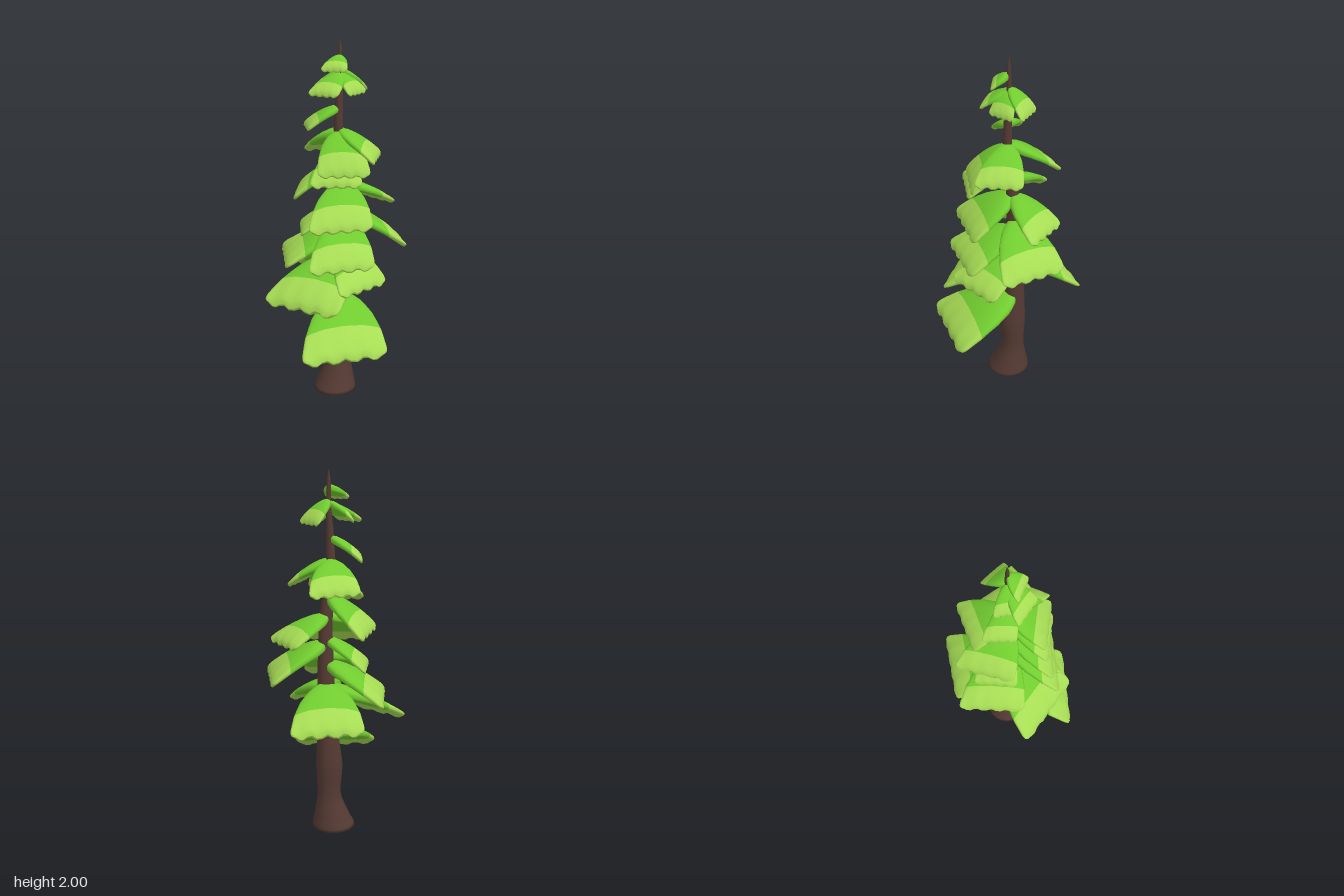
import * as THREE from 'three';

const makeMaterial = (name, color) => {
  const m = new THREE.MeshStandardMaterial({ color });
  m.name = name;
  return m;
};

// Closed rings of points joined into one smooth skin
function loft(rings, splitRing) {
  const n = rings[0].length, pos = [], idx = [];
  rings.forEach(r => r.forEach(p => pos.push(p.x, p.y, p.z)));
  for (let i = 0; i < rings.length - 1; i++) {
    for (let j = 0; j < n; j++) {
      const k = (j + 1) % n, a = i * n + j, b = i * n + k, c = a + n, d = b + n;
      idx.push(a, b, c, b, d, c);
    }
  }
  const g = new THREE.BufferGeometry();
  g.setAttribute('position', new THREE.Float32BufferAttribute(pos, 3));
  g.setIndex(idx);
  if (splitRing) {
    g.addGroup(0, splitRing * n * 6, 0);
    g.addGroup(splitRing * n * 6, idx.length - splitRing * n * 6, 1);
  }
  g.computeVertexNormals();
  return g;
}

// Piecewise linear lookup in [position, value] pairs
function lookup(table, v) {
  for (let i = 1; i < table.length; i++) {
    const [a, p] = table[i - 1], [b, q] = table[i];
    if (v <= b) return p + (q - p) * (v - a) / (b - a);
  }
  return table[table.length - 1][1];
}

// Trunk centre line and radius: x, y, z, radius
const TRUNK = [
  [0.005, 0, -0.01, 0.12], [0.015, 0.07, -0.018, 0.098], [0.029, 0.2, -0.028, 0.066],
  [0.028, 0.37, -0.027, 0.074], [0.032, 0.5, -0.033, 0.064], [0.038, 0.65, -0.037, 0.052],
  [0.045, 0.9, -0.03, 0.046], [0.045, 1.2, -0.025, 0.036], [0.022, 1.5, 0, 0.026],
  [0.024, 1.65, 0, 0.021], [0.03, 1.8, -0.004, 0.014], [0.03, 1.94, -0.004, 0.01], [0.03, 2, -0.004, 0.002],
];
const trunkPath = new THREE.CatmullRomCurve3(TRUNK.map(p => new THREE.Vector3(p[0], p[1], p[2])));
const trunkRadius = new THREE.SplineCurve(TRUNK.map((p, i) => new THREE.Vector2(i, p[3])));
const trunkX = TRUNK.map(p => [p[1], p[0]]);
const trunkZ = TRUNK.map(p => [p[1], p[2]]);

function trunkGeometry() {
  const steps = 48, sides = 24;
  const ringAt = (t, r) => {
    const c = trunkPath.getPoint(t);
    return Array.from({ length: sides }, (_, j) => {
      const a = j / sides * Math.PI * 2;
      return new THREE.Vector3(c.x + r * Math.cos(a), c.y, c.z - r * Math.sin(a));
    });
  };
  // The first ring is collapsed to close the underside
  const rings = [ringAt(0, 0)];
  for (let i = 0; i <= steps; i++) rings.push(ringAt(i / steps, trunkRadius.getPoint(i / steps).y));
  return loft(rings);
}

// Bough outline: half width and half thickness along its length
const WIDTH = [[0, 0.17], [0.08, 0.39], [0.2, 0.58], [0.4, 0.79], [0.67, 0.97], [0.92, 1.06], [0.97, 1.04], [1, 0.97]];
const THICK = [[0, 0], [0.02, 0.55], [0.05, 0.8], [0.2, 1], [0.5, 1], [0.82, 0.92], [0.92, 0.8], [0.97, 0.6], [0.99, 0.38], [1, 0]];
const STEPS = [0, 0.02, 0.05, 0.12, 0.2, 0.3, 0.4, 0.54, 0.67, 0.75, 0.83, 0.9, 0.94, 0.97, 0.99, 1];
const SPLIT = 8;

// A drooping fan from the trunk to the end edge between corners a and b
function boughGeometry(topY, tipY, ax, az, bx, bz) {
  const root = new THREE.Vector3(lookup(trunkX, topY), topY, lookup(trunkZ, topY));
  const out = new THREE.Vector3((ax + bx) / 2 - root.x, 0, (az + bz) / 2 - root.z);
  const half = new THREE.Vector3((bx - ax) / 2, 0, (bz - az) / 2);
  if (half.x * out.z - half.z * out.x < 0) half.negate();
  const W = half.length(), thick = 0.013 + 0.125 * W, sides = 40;
  const startY = topY - thick * 0.75, drop = tipY + thick * 0.5 - startY;
  const rings = STEPS.map(v => {
    const w = lookup(WIDTH, v), t = lookup(THICK, v) * thick, ring = [];
    for (let j = 0; j < sides; j++) {
      const a = j / sides * Math.PI * 2, u = Math.cos(a), s = Math.sin(a);
      const scallop = -Math.cos(u * Math.PI * 4) * v ** 6;
      const l = v * (1.045 + 0.01 * scallop);
      const p = root.clone().addScaledVector(out, l).addScaledVector(half, u * w);
      p.y = startY + drop * (0.35 * v + 0.65 * v * v) - 0.055 * W * scallop;
      p.y += t * Math.sign(s) * Math.abs(s) ** 0.7;
      p.y -= 0.2 * W * u * u * w * (1 - 0.9 * v);
      ring.push(p);
    }
    return ring;
  });
  return loft(rings, SPLIT);
}

// Boughs: top y, tip y, then the end corners as x, z, x, z
const BOUGHS = [
  [0.6, 0.34, -0.2, 0.37, 0.24, 0.31],
  [0.85, 0.6, -0.38, 0.12, -0.03, 0.35],
  [0.88, 0.69, 0.26, 0.13, 0, 0.3],
  [0.87, 0.65, -0.17, -0.28, 0.19, -0.365],
  [0.99, 0.78, -0.26, -0.25, -0.26, 0.09],
  [1.04, 0.82, -0.155, 0.28, 0.18, 0.23],
  [1.1, 0.88, 0.3, -0.23, 0.375, 0.1],
  [1.12, 0.95, -0.165, -0.17, -0.175, 0.05],
  [1.25, 1.03, -0.15, 0.24, 0.17, 0.21],
  [1.25, 1.09, 0.18, -0.24, 0.335, -0.05],
  [1.35, 1.15, -0.15, -0.26, -0.215, 0.03],
  [1.44, 1.27, -0.14, 0.2, 0.11, 0.22],
  [1.53, 1.32, -0.1, 0.19, 0.155, 0.21],
  [1.54, 1.38, 0.245, -0.02, 0.17, 0.2],
  [1.54, 1.37, -0.14, -0.16, 0.1, -0.26],
  [1.66, 1.53, -0.145, -0.115, -0.135, 0.045],
  [1.83, 1.72, -0.135, 0.055, 0, 0.135],
  [1.84, 1.73, -0.1, -0.06, -0.075, 0.055],
  [1.83, 1.72, 0.16, 0.01, 0.06, 0.1],
  [1.85, 1.72, 0.07, -0.13, 0.175, -0.03],
  [1.92, 1.84, -0.07, 0.05, 0.05, 0.09],
];

export function createModel() {
  const bark = makeMaterial('bark brown', 0x553a33);
  const green = makeMaterial('inner green', 0x71cc2f);
  const lime = makeMaterial('tip lime green', 0xa6dc54);
  const tree = new THREE.Group();
  tree.name = 'tree';

  // Trunk
  const trunk = new THREE.Mesh(trunkGeometry(), bark);
  trunk.name = 'trunk';
  tree.add(trunk);

  // Foliage
  const foliage = new THREE.Group();
  foliage.name = 'foliage';
  BOUGHS.forEach((b, i) => {
    const mesh = new THREE.Mesh(boughGeometry(...b), [green, lime]);
    mesh.name = 'bough' + (i + 1);
    foliage.add(mesh);
  });
  tree.add(foliage);
  return tree;
}
